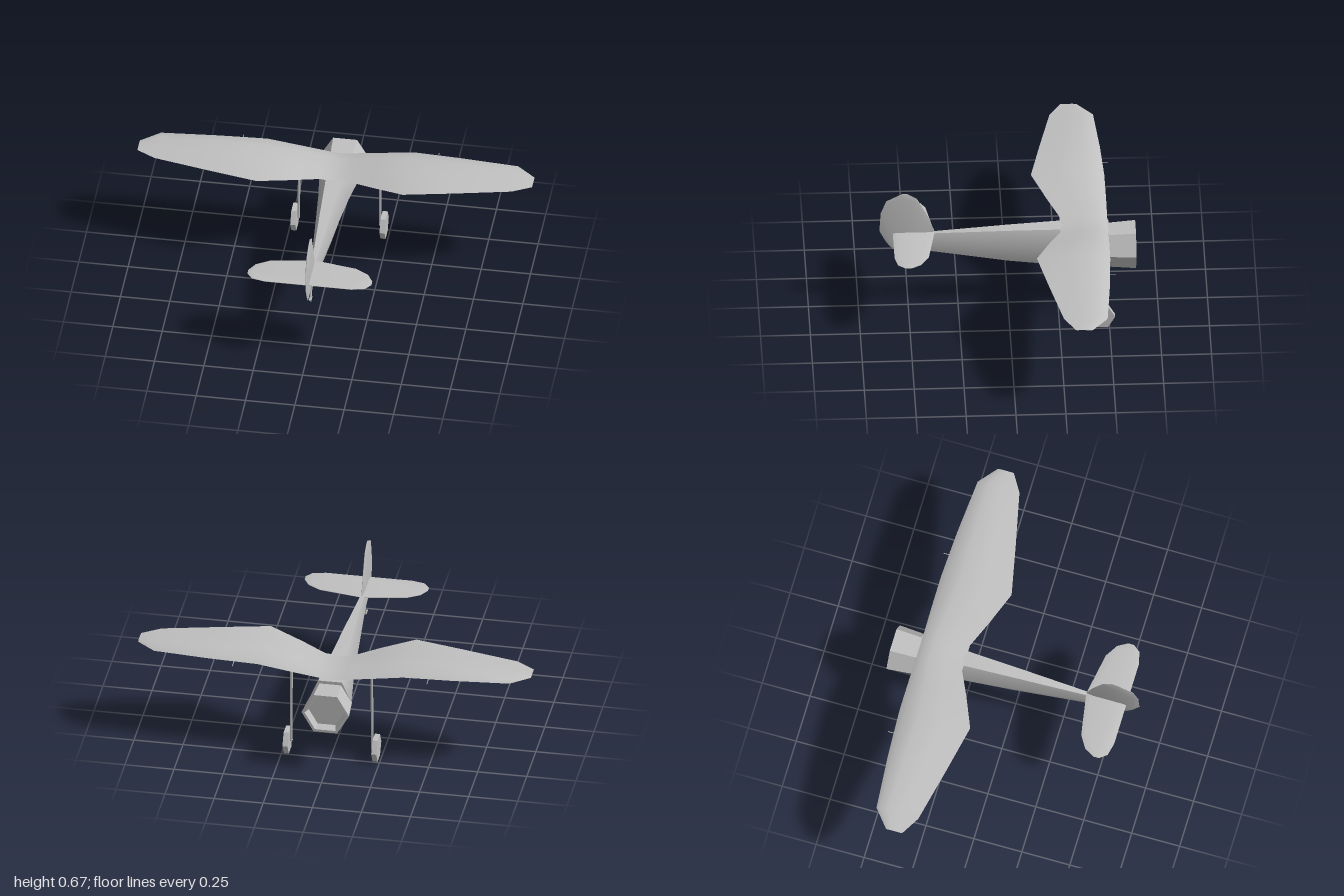
import * as THREE from 'three';
import { toCreasedNormals } from 'three/addons/utils/BufferGeometryUtils.js';

// Skin a closed surface over rings of points, with both ends capped
function loft(rings, crease) {
  const n = rings[0].length, index = [];
  for (let i = 0; i < rings.length - 1; i++) {
    for (let j = 0; j < n; j++) {
      const k = (j + 1) % n;
      const a = i * n + j, b = i * n + k, c = b + n, d = a + n;
      index.push(a, b, c, a, c, d);
    }
  }
  const last = (rings.length - 1) * n;
  for (let j = 1; j < n - 1; j++) {
    index.push(0, j + 1, j, last, last + j, last + j + 1);
  }
  const geo = new THREE.BufferGeometry();
  geo.setAttribute('position', new THREE.Float32BufferAttribute(rings.flat(2), 3));
  geo.setIndex(index);
  return toCreasedNormals(geo, crease);
}

// Thin plate with chamfered edges that stay inside the outline
function plate(outline) {
  const shape = new THREE.Shape(outline.map(([x, y]) => new THREE.Vector2(x, y)));
  const geo = new THREE.ExtrudeGeometry(shape, {
    depth: 0.002, bevelThickness: 0.004, bevelSize: 0.02, bevelOffset: -0.02, bevelSegments: 1,
  });
  geo.translate(0, 0, -0.001);
  return toCreasedNormals(geo, 0.5);
}

// Straight round bar between two points
function bar(from, to, radius, sides = 6) {
  const a = new THREE.Vector3(...from), b = new THREE.Vector3(...to);
  const dir = b.clone().sub(a);
  const geo = new THREE.CylinderGeometry(radius, radius, dir.length(), sides);
  geo.applyQuaternion(new THREE.Quaternion().setFromUnitVectors(
    new THREE.Vector3(0, 1, 0), dir.normalize()));
  const mid = a.add(b).multiplyScalar(0.5);
  return geo.translate(mid.x, mid.y, mid.z);
}

export function createModel() {
  const model = new THREE.Group();
  model.name = 'highWingMonoplane';
  const grey = new THREE.MeshStandardMaterial({ color: 0xc0c0c0, side: THREE.DoubleSide });
  grey.name = 'plainGrey';
  const add = (name, geo) => {
    const mesh = new THREE.Mesh(geo, grey);
    mesh.name = name;
    model.add(mesh);
    return mesh;
  };

  // Fuselage: six-sided sections [z, bottom, top, half width, half flat]
  const sections = [
    [-0.505, 0.225, 0.447, 0.108, 0.06],
    [-0.26, 0.246, 0.461, 0.077, 0.04],
    [0, 0.271, 0.452, 0.053, 0.028],
    [0.37, 0.325, 0.435, 0.02, 0.01],
    [0.51, 0.345, 0.397, 0.01, 0.005],
  ];
  add('fuselage', loft(sections.map(([z, lo, hi, w, f]) => {
    const mid = (lo + hi) / 2;
    return [[w, mid, z], [f, hi, z], [-f, hi, z], [-w, mid, z], [-f, lo, z], [f, lo, z]];
  }), 0.9));

  // Engine cowling: recessed floor, rim, then outer wall [radius, z]
  const cowl = [[0.09, -0.605], [0.106, -0.64], [0.121, -0.64], [0.11, -0.5]];
  add('engineCowling', loft(cowl.map(([r, z]) =>
    Array.from({ length: 6 }, (_, i) => {
      const t = i * Math.PI / 3;
      return [r * Math.cos(t), 0.335 + r * Math.sin(t), z];
    })), 0.4));

  // Gull wing: [x, leading z, trailing z, leading y, trailing y, thickness]
  const half = [
    [0.07, -0.5, -0.26, 0.462, 0.465, 0.018],
    [0.2, -0.5, -0.2, 0.48, 0.488, 0.025],
    [0.37, -0.498, -0.13, 0.505, 0.515, 0.031],
    [0.62, -0.486, -0.182, 0.505, 0.513, 0.026],
    [0.905, -0.463, -0.245, 0.506, 0.511, 0.016],
    [1.0, -0.385, -0.302, 0.505, 0.507, 0.003],
  ];
  const stations = [
    ...half.map(([x, ...rest]) => [-x, ...rest]).reverse(),
    [0, -0.5, -0.26, 0.452, 0.458, 0.018],
    ...half,
  ];
  // Chord fraction and height of the aerofoil, over the top and back underneath
  const foil = [[0, 0], [0.08, 0.55], [0.28, 1], [0.6, 0.65], [1, 0], [0.65, 0.15], [0.3, -0.15], [0.08, -0.2]];
  add('wing', loft(stations.map(([x, z0, z1, y0, y1, t]) =>
    foil.map(([u, v]) => [x, y0 + (y1 - y0) * u + v * t, z0 + (z1 - z0) * u])), 0.75));

  // Tailplane, mirrored outline in x and z
  const tailSide = [[0.015, 0.37], [0.22, 0.405], [0.285, 0.445], [0.314, 0.495], [0.314, 0.525], [0.285, 0.562], [0.22, 0.577]];
  const tail = [...tailSide, ...tailSide.map(([x, z]) => [-x, z]).reverse()];
  add('tailplane', plate(tail).rotateX(Math.PI / 2)).position.y = 0.434;

  // Fin and rudder, outline in z and y
  add('finAndRudder', plate([
    [0.368, 0.443], [0.4, 0.53], [0.455, 0.638], [0.505, 0.67], [0.53, 0.67], [0.61, 0.628],
    [0.638, 0.555], [0.644, 0.45], [0.612, 0.385], [0.577, 0.338], [0.51, 0.338],
  ]).rotateY(-Math.PI / 2));

  // Wheels, struts and wing probes on both sides
  for (const [side, s] of [['left', 1], ['right', -1]]) {
    add(side + 'Strut', bar([s * 0.207, 0.06, -0.459], [s * 0.204, 0.485, -0.465], 0.007));
    const wheel = new THREE.CylinderGeometry(0.07, 0.07, 0.026, 6);
    wheel.rotateZ(Math.PI / 2);
    add(side + 'Wheel', toCreasedNormals(wheel, 0.4)).position.set(s * 0.226, 0.0607, -0.458);
    add(side + 'Axle', bar([s * 0.2, 0.0607, -0.458], [s * 0.22, 0.0607, -0.458], 0.006));
    add(side + 'Probe', bar([s * 0.495, 0.497, -0.46], [s * 0.495, 0.495, -0.522], 0.002));
  }

  // Tail skid with its foot
  add('tailSkidLeg', bar([0, 0.35, 0.445], [0, 0.284, 0.48], 0.005));
  const foot = new THREE.BoxGeometry(0.012, 0.008, 0.034);
  add('tailSkidFoot', foot).position.set(0, 0.283, 0.486);

  return model;
}
